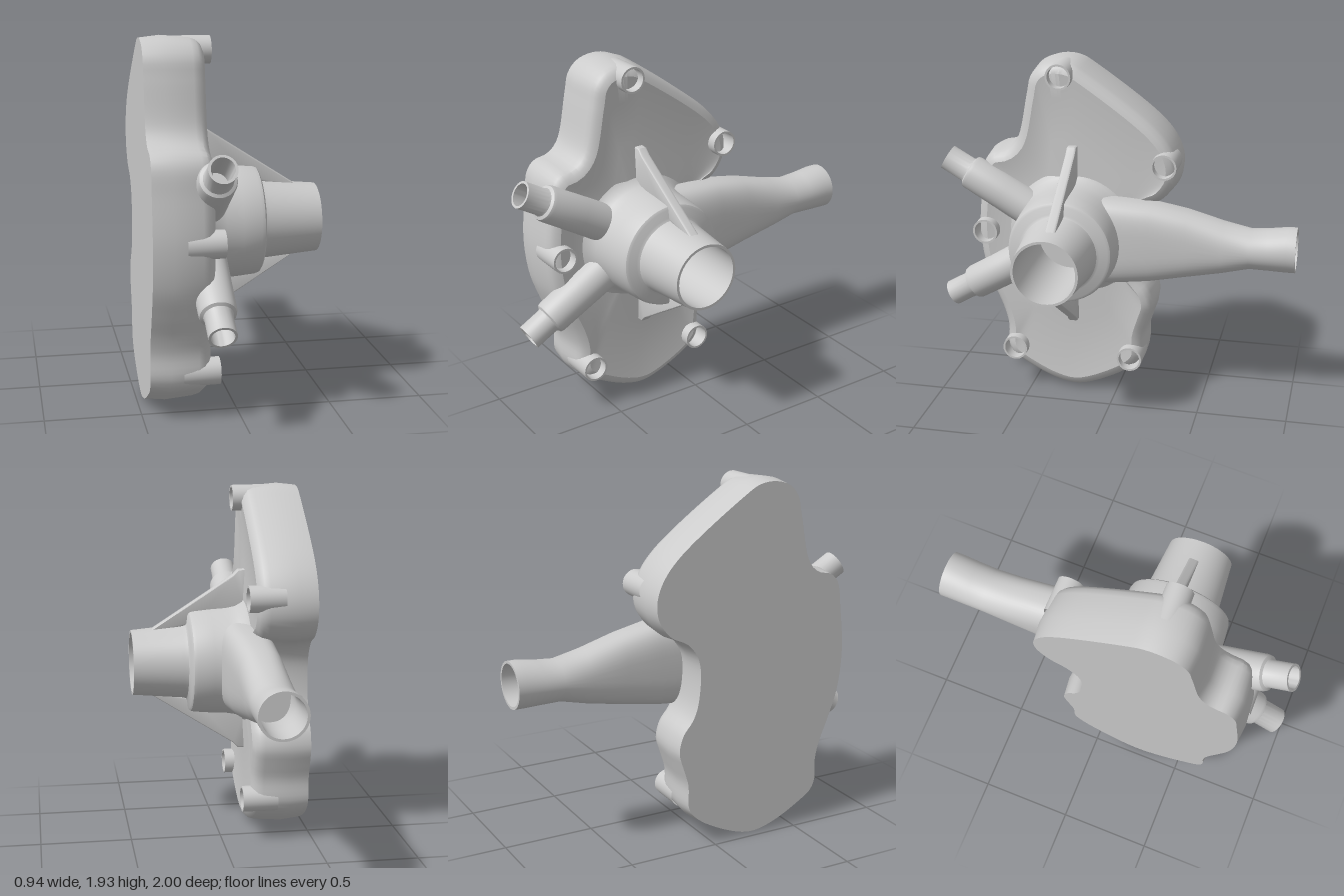
import * as THREE from 'three';
import { toCreasedNormals } from 'three/addons/utils/BufferGeometryUtils.js';

const HUB_Y = 0.957, HUB_Z = 0.25, PIPE_X = -0.157;
const material = new THREE.MeshStandardMaterial({ color: 0xcccccc, side: THREE.DoubleSide });

function addMesh(parent, name, geometry, crease = 0.6) {
  const mesh = new THREE.Mesh(toCreasedNormals(geometry, crease), material);
  mesh.name = name;
  parent.add(mesh);
  return mesh;
}

// Skin through closed rings of equal length, with a fan over each end
function loft(rings) {
  const n = rings[0].length, pos = [], index = [];
  rings.forEach(r => r.forEach(p => pos.push(p.x, p.y, p.z)));
  for (let k = 0; k < rings.length - 1; k++) {
    for (let i = 0; i < n; i++) {
      const j = (i + 1) % n, a = k * n, b = a + n;
      index.push(a + i, a + j, b + j, a + i, b + j, b + i);
    }
  }
  const cap = (base, ring, flip) => {
    const c = ring.reduce((s, p) => s.add(p), new THREE.Vector3()).divideScalar(n);
    const m = pos.length / 3;
    pos.push(c.x, c.y, c.z);
    for (let i = 0; i < n; i++) {
      const j = (i + 1) % n;
      index.push(m, base + (flip ? j : i), base + (flip ? i : j));
    }
  };
  cap(0, rings[0], true);
  cap((rings.length - 1) * n, rings[rings.length - 1], false);
  const g = new THREE.BufferGeometry();
  g.setAttribute('position', new THREE.Float32BufferAttribute(pos, 3));
  g.setIndex(index);
  return g;
}

// Turned part: profile of [radius, distance] pairs along a direction
function turned(parent, name, profile, origin, direction, sides = 40) {
  const g = new THREE.LatheGeometry(profile.map(p => new THREE.Vector2(p[0], p[1])), sides);
  const mesh = addMesh(parent, name, g);
  mesh.position.copy(origin);
  mesh.quaternion.setFromUnitVectors(new THREE.Vector3(0, 1, 0), direction);
  return mesh;
}

// Housing outline as [z, y], counter-clockwise seen from +x
const OUTLINE = [
  [0.34, 1.937], [0.44, 1.91], [0.5, 1.845], [0.525, 1.74], [0.582, 1.49], [0.635, 1.433],
  [0.72, 1.41], [0.77, 1.355], [0.795, 1.2], [0.815, 0.957], [0.79, 0.74], [0.735, 0.58],
  [0.685, 0.455], [0.662, 0.36], [0.663, 0.24], [0.635, 0.175], [0.56, 0.12], [0.38, 0.03],
  [0.25, 0.002], [0.13, 0.026], [-0.09, 0.14], [-0.155, 0.22], [-0.162, 0.36], [-0.19, 0.455],
  [-0.215, 0.55], [-0.19, 0.65], [-0.13, 0.73], [-0.1, 0.83], [-0.1, 1.03], [-0.16, 1.12],
  [-0.26, 1.175], [-0.33, 1.27], [-0.343, 1.37], [-0.31, 1.475], [-0.215, 1.595],
  [0.17, 1.88], [0.25, 1.925],
];

function housing() {
  const curve = new THREE.CatmullRomCurve3(
    OUTLINE.map(([z, y]) => new THREE.Vector3(0, y, z)), true, 'centripetal');
  const edge = curve.getSpacedPoints(180).slice(0, 180);
  const n = edge.length;
  const inset = (x, d) => edge.map((p, i) => {
    const t = edge[(i + 1) % n].clone().sub(edge[(i + n - 1) % n]).normalize();
    return new THREE.Vector3(x, p.y - t.z * d, p.z + t.y * d);
  });
  // Face rings shrink towards the hub, slightly dished
  const face = inset(-0.155, 0.068);
  const shrink = (x, s) => face.map(p => new THREE.Vector3(
    x, HUB_Y + (p.y - HUB_Y) * s, HUB_Z + (p.z - HUB_Z) * s));
  return loft([
    inset(-0.47, 0.012), inset(-0.365, 0), inset(-0.22, 0.012), inset(-0.19, 0.02),
    inset(-0.167, 0.04), face, shrink(-0.168, 0.85), shrink(-0.17, 0.6), shrink(-0.16, 0.4),
  ]);
}

// Outlet: squarish where it leaves the hub, round at the mouth
function outlet() {
  // [z, y min, y max, x max, squareness exponent]
  const stations = [
    [0.08, 0.71, 1.205, 0.0, 0.62], [0, 0.715, 1.2, 0.0, 0.62], [-0.2, 0.735, 1.185, -0.015, 0.65],
    [-0.4, 0.77, 1.148, -0.032, 0.72], [-0.6, 0.807, 1.093, -0.035, 0.85],
    [-0.75, 0.842, 1.062, -0.035, 1], [-0.85, 0.84, 1.07, -0.033, 1],
    [-0.95, 0.837, 1.085, -0.03, 1], [-1, 0.837, 1.085, -0.03, 1],
  ];
  const xMin = -0.284;
  const power = (v, e) => Math.sign(v) * Math.abs(v) ** e;
  const ring = ([z, y0, y1, x1, e], wall = 0) => {
    const points = [];
    for (let i = 0; i < 48; i++) {
      const t = (i / 48) * Math.PI * 2;
      points.push(new THREE.Vector3(
        (xMin + x1) / 2 - ((x1 - xMin) / 2 - wall) * power(Math.cos(t), e),
        (y0 + y1) / 2 + ((y1 - y0) / 2 - wall) * power(Math.sin(t), e), z));
    }
    return points;
  };
  const inside = stations.slice(4).reverse().map(s => ring(s, 0.014));
  return loft([...stations.map(s => ring(s)), ...inside]);
}

function rib() {
  const s = new THREE.Shape([[-0.2, 1.475], [-0.135, 1.47], [-0.105, 1.44], [0.36, 1.14],
    [0.3, 1.13], [0.1, 1.18], [-0.2, 1.18]].map(p => new THREE.Vector2(p[0], p[1] - HUB_Y)));
  const g = new THREE.ExtrudeGeometry(s, {
    depth: 0.03, bevelEnabled: true, bevelThickness: 0.012, bevelSize: 0.008,
    bevelOffset: -0.008, bevelSegments: 3,
  });
  return g.translate(0, 0, -0.015);
}

export function createModel() {
  const model = new THREE.Group();
  model.name = 'pumpCover';
  const forward = new THREE.Vector3(1, 0, 0);

  addMesh(model, 'housing', housing(), 0.5);
  addMesh(model, 'outletPipe', outlet(), 0.7);

  // Hub with its tapered open inlet
  turned(model, 'hubInlet', [
    [0.37, -0.175], [0.335, -0.155], [0.312, -0.115], [0.302, -0.06], [0.297, 0.03],
    [0.288, 0.125], [0.282, 0.143], [0.268, 0.152], [0.225, 0.157], [0.211, 0.165],
    [0.206, 0.185], [0.181, 0.465], [0.167, 0.465], [0.175, 0.2], [0.175, -0.1], [0, -0.1],
  ], new THREE.Vector3(0, HUB_Y, HUB_Z), forward, 64);

  // Ribs above and below the hub
  for (const side of [1, -1]) {
    const mesh = addMesh(model, side > 0 ? 'upperRib' : 'lowerRib', rib());
    mesh.position.set(0, HUB_Y, HUB_Z - 0.005);
    if (side < 0) mesh.rotation.x = Math.PI;
  }

  // Hose stubs, 30 degrees above and below the horizontal
  for (const side of [1, -1]) {
    const a = side * Math.PI / 6;
    turned(model, side > 0 ? 'upperHoseStub' : 'lowerHoseStub', [
      [0.105, 0.2], [0.1, 0.45], [0.097, 0.655], [0.092, 0.672], [0.076, 0.68],
      [0.072, 0.69], [0.072, 0.82], [0.059, 0.82], [0.059, 0.6], [0, 0.6],
    ], new THREE.Vector3(PIPE_X, HUB_Y, HUB_Z), new THREE.Vector3(0, Math.sin(a), Math.cos(a)));
  }

  // Hollow bolt bosses around the rim
  const bosses = [[0.31, 1.86], [-0.27, 1.393], [0.745, 0.955], [0.587, 0.25], [-0.087, 0.24]];
  for (const [z, y] of bosses) {
    turned(model, 'boltBoss', [
      [0.073, -0.3], [0.071, -0.108], [0.06, -0.108], [0.06, -0.25], [0, -0.25],
    ], new THREE.Vector3(0, y, z), forward, 32);
  }
  return model;
}
